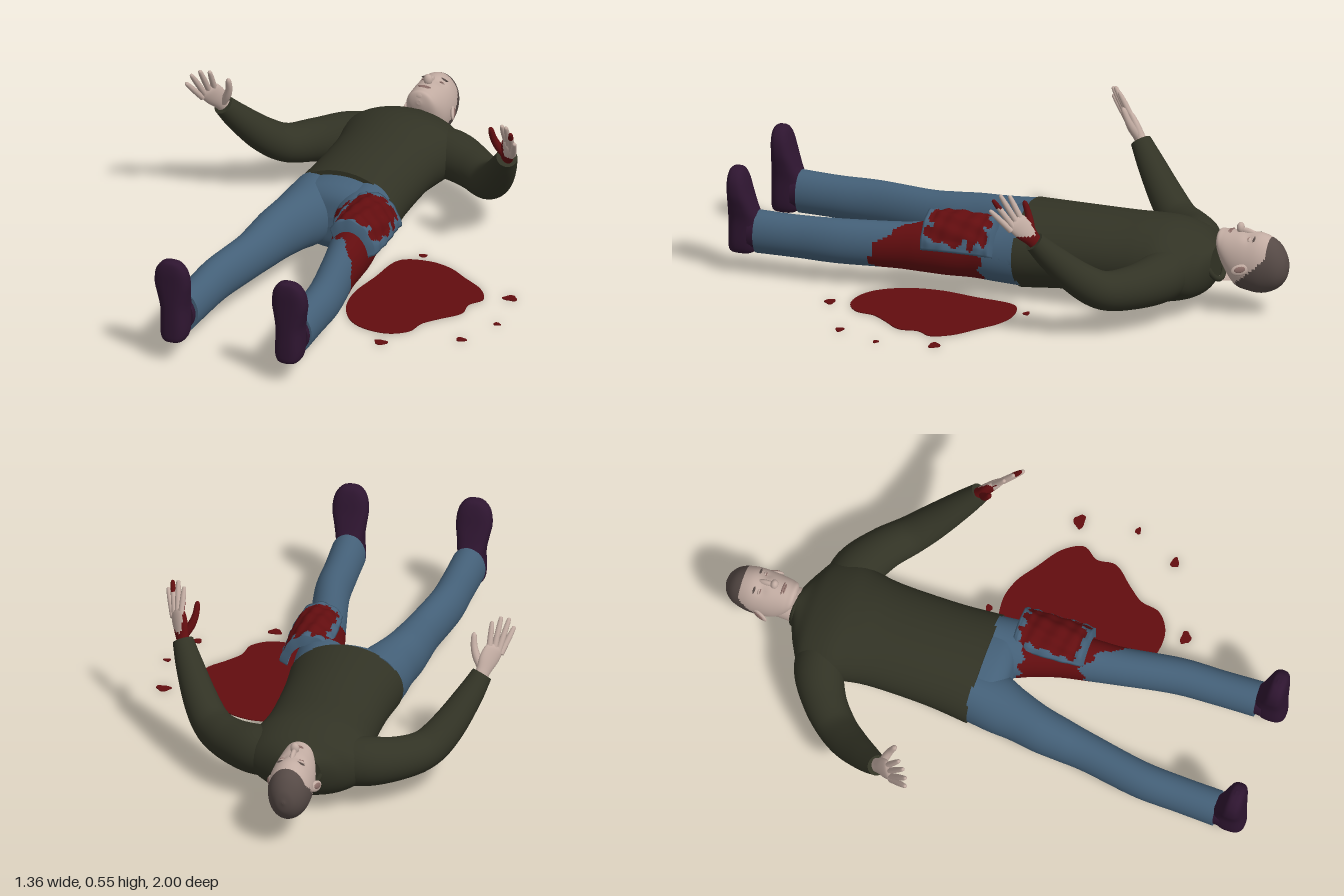
import * as THREE from 'three';

const mat = (name, color, side = THREE.FrontSide) => {
  const m = new THREE.MeshStandardMaterial({ color, side });
  m.name = name;
  return m;
};

const V = (x, y, z) => new THREE.Vector3(x, y, z);

// Skin a smooth surface over key sections [x, y, z, halfWidth, halfHeight].
// axis: fixed section direction; ref: direction of the section's height;
// arc: angle range; square: <1 makes boxier sections; paint: picks a material.
function loft(name, keys, mats, o = {}) {
  const { n = 32, m = 32, axis, ref = V(0, 1, 0), arc, square = 1, bump = () => 1, paint = () => 0 } = o;
  const path = new THREE.CatmullRomCurve3(keys.map(k => V(k[0], k[1], k[2])), false, 'catmullrom', 0.5);
  const size = new THREE.CatmullRomCurve3(keys.map(k => V(k[3], k[4] ?? k[3], 0)), false, 'catmullrom', 0.5);
  const pts = [], cols = arc ? m + 1 : m, [a0, a1] = arc || [0, Math.PI * 2];
  const pow = v => Math.sign(v) * Math.abs(v) ** square;
  for (let i = 0; i <= n; i++) {
    const t = i / n, c = path.getPoint(t), s = size.getPoint(t);
    const T = axis || path.getTangent(t);
    const U = ref.clone().cross(T).normalize(), W = T.clone().cross(U).normalize();
    for (let j = 0; j < cols; j++) {
      const f = j / m, th = a0 + (a1 - a0) * f, k = bump(t, f, th);
      pts.push(c.clone().addScaledVector(U, s.x * k * pow(Math.cos(th)))
        .addScaledVector(W, s.y * k * pow(Math.sin(th))));
    }
  }
  const lists = mats.map(() => []);
  for (let i = 0; i < n; i++) for (let j = 0; j < m; j++) {
    const a = i * cols + j, b = i * cols + (j + 1) % cols, c = b + cols, d = a + cols;
    const mid = pts[a].clone().add(pts[c]).multiplyScalar(0.5);
    lists[paint(mid, (i + 0.5) / n, (j + 0.5) / m)].push(a, b, c, a, c, d);
  }
  // End caps with their own rim so the edge stays crisp
  if (!arc) for (const end of [0, n]) {
    const base = pts.length;
    const ring = pts.slice(end * cols, end * cols + cols).map(p => p.clone());
    const mid = path.getPoint(end / n), idx = paint(mid, end / n, 0);
    pts.push(...ring, mid);
    for (let j = 0; j < m; j++) {
      const p = base + j, q = base + (j + 1) % m;
      lists[idx].push(base + m, ...(end ? [p, q] : [q, p]));
    }
  }
  const g = new THREE.BufferGeometry().setFromPoints(pts);
  g.setIndex(lists.flat());
  let start = 0;
  lists.forEach((l, i) => { g.addGroup(start, l.length, i); start += l.length; });
  g.computeVertexNormals();
  const mesh = new THREE.Mesh(g, mats.length > 1 ? mats : mats[0]);
  mesh.name = name;
  return mesh;
}

export function createModel() {
  const skin = mat('skin', 0xc2aca2), shirt = mat('shirt', 0x323325), jeans = mat('denim', 0x446078);
  const hair = mat('hair', 0x564a46), shoe = mat('shoe', 0x2e1530), blood = mat('stain', 0x620d0f);
  const lip = mat('lip', 0x8d6f69), tornDenim = mat('tornDenim', 0x446078, THREE.DoubleSide);
  const wound = mat('wound', 0x620d0f, THREE.DoubleSide);
  const model = new THREE.Group(), person = new THREE.Group(), Z = V(0, 0, 1);
  person.name = 'lyingPerson';
  person.position.x = -0.053;
  model.add(person);

  const blob = (name, m, pos, scale, rot = [0, 0, 0]) => {
    const b = new THREE.Mesh(new THREE.SphereGeometry(1, 20, 14), m);
    b.name = name;
    b.position.set(...pos); b.scale.set(...scale); b.rotation.set(...rot);
    person.add(b);
    return b;
  };

  // Sweater body and collar
  person.add(loft('sweaterBody', [
    [0, 0.18, -0.735, 0.072, 0.062], [0, 0.165, -0.705, 0.14, 0.09], [0, 0.166, -0.66, 0.205, 0.116],
    [0, 0.17, -0.58, 0.222, 0.14], [0, 0.172, -0.5, 0.205, 0.145], [0, 0.174, -0.4, 0.192, 0.142],
    [0, 0.17, -0.2, 0.192, 0.147], [0, 0.163, -0.042, 0.205, 0.153]], [shirt], { axis: Z, n: 40, m: 48 }));
  const collar = new THREE.Mesh(new THREE.TorusGeometry(0.07, 0.01, 10, 36), shirt);
  collar.name = 'collar';
  collar.position.set(0, 0.185, -0.722); collar.rotation.x = 0.4;
  person.add(collar);

  // Neck and head, with the hair as a painted cap
  person.add(loft('neck', [[0, 0.175, -0.68, 0.068, 0.066], [0, 0.18, -0.75, 0.062, 0.066],
    [0, 0.19, -0.84, 0.062, 0.068]], [skin], { axis: Z, n: 8 }));
  const isHair = p => (p.z < -0.937 || (p.z < -0.79 && p.y < 0.2 - (p.z + 0.9) * 0.9)) ? 1 : 0;
  person.add(loft('head', [
    [0, 0.19, -1, 0.004], [0, 0.19, -0.99, 0.034, 0.046], [0, 0.194, -0.96, 0.061, 0.085],
    [0, 0.196, -0.91, 0.075, 0.108], [0, 0.198, -0.86, 0.077, 0.108], [0, 0.206, -0.81, 0.072, 0.1],
    [0, 0.235, -0.77, 0.06, 0.07], [0, 0.262, -0.747, 0.043, 0.04], [0, 0.265, -0.738, 0.008]],
  [skin, hair], { axis: Z, n: 64, m: 64, paint: isHair,
    bump: (t, f, th) => { // eye sockets
      const d = Math.abs(Math.abs(th - Math.PI / 2) - 0.42) / 0.22, e = (t - 0.5) / 0.045;
      return 1 - 0.05 * Math.exp(-d * d - e * e);
    } }));
  blob('noseBridge', skin, [0, 0.304, -0.85], [0.01, 0.014, 0.034], [-0.2, 0, 0]);
  blob('noseTip', skin, [0, 0.316, -0.823], [0.016, 0.021, 0.014]);
  blob('chin', skin, [0, 0.285, -0.757], [0.026, 0.02, 0.017]);
  blob('upperLip', lip, [0, 0.303, -0.791], [0.024, 0.006, 0.004]);
  blob('lowerLip', lip, [0, 0.302, -0.784], [0.019, 0.006, 0.004]);
  for (const s of [-1, 1]) {
    blob('eyelid', skin, [s * 0.03, 0.285, -0.868], [0.015, 0.01, 0.008]);
    blob('eyeLine', lip, [s * 0.03, 0.292, -0.864], [0.013, 0.004, 0.002]);
    blob('eyebrow', hair, [s * 0.032, 0.294, -0.886], [0.02, 0.004, 0.004], [0, 0, -s * 0.3]);
    blob('ear', skin, [s * 0.082, 0.19, -0.85], [0.008, 0.02, 0.033], [0.25, s * 0.35, 0]);
    blob('earHollow', lip, [s * 0.088, 0.193, -0.851], [0.004, 0.011, 0.02], [0.25, s * 0.35, 0]);
  }

  // Hips
  person.add(loft('hips', [[0, 0.163, -0.08, 0.193, 0.138], [0, 0.163, -0.02, 0.2, 0.133],
    [0, 0.163, 0.02, 0.198, 0.12], [0, 0.163, 0.05, 0.13, 0.085], [0, 0.163, 0.06, 0.02, 0.02]],
  [jeans], { axis: Z, n: 20, m: 48 }));

  // Limbs, made for the left side (+x) and mirrored
  for (const s of [1, -1]) {
    const left = s === 1, side = new THREE.Group();
    side.name = left ? 'leftLimbs' : 'rightLimbs';
    side.scale.x = s;
    person.add(side);

    side.add(loft('sleeve', [[0.1, 0.17, -0.6, 0.088], [0.2, 0.166, -0.587, 0.088], [0.3, 0.16, -0.53, 0.077],
      [0.38, 0.167, -0.455, 0.069], [0.44, 0.22, -0.385, 0.062], [0.5, 0.31, -0.305, 0.049],
      [0.537, 0.378, -0.252, 0.037]], [shirt], { n: 36 }));

    // Trouser leg; the left one is stained around the thigh
    side.add(loft('trouserLeg', [
      [0.1, 0.165, -0.05, 0.096, 0.125], [0.106, 0.163, 0.04, 0.102, 0.116], [0.124, 0.163, 0.12, 0.089, 0.106],
      [0.145, 0.16, 0.21, 0.08, 0.099], [0.157, 0.157, 0.3, 0.073, 0.091], [0.17, 0.155, 0.4, 0.066, 0.084],
      [0.203, 0.155, 0.6, 0.063, 0.081], [0.21, 0.155, 0.75, 0.061, 0.077], [0.215, 0.157, 0.895, 0.062, 0.078]],
    [jeans, blood], { axis: Z, n: 90, m: 56, paint: (p, t, f) => {
      const a = f * Math.PI * 2;
      const end = 0.38 + 0.085 * Math.cos(a) - 0.05 * Math.sin(a) + 0.012 * Math.sin(7 * a);
      return left && p.z > 0.075 + 0.01 * Math.sin(9 * a) && p.z < end ? 1 : 0;
    } }));

    // Shoe, toe pointing up
    side.add(loft('shoe', [
      [0.217, 0.075, 0.955, 0.015, 0.02], [0.217, 0.085, 0.95, 0.04, 0.046], [0.217, 0.12, 0.945, 0.05, 0.055],
      [0.218, 0.2, 0.941, 0.049, 0.059], [0.22, 0.25, 0.95, 0.056, 0.05], [0.222, 0.3, 0.959, 0.064, 0.041],
      [0.222, 0.35, 0.966, 0.058, 0.034], [0.221, 0.382, 0.97, 0.036, 0.024], [0.22, 0.392, 0.972, 0.008]],
    [shoe], { axis: V(0, 1, 0), ref: V(0, 0, -1), square: 0.75, n: 40 }));
    side.add(loft('shoeCuff', [[0.216, 0.155, 0.87, 0.052, 0.062], [0.217, 0.157, 0.92, 0.055, 0.066]],
      [shoe], { axis: Z, n: 4 }));

    // Open hand; the left one is stained
    const flesh = [skin, blood], palm = V(0.7, 0.24, -0.67).normalize();
    const stained = p => (left && (p.x < 0.543 || p.y < 0.405 || (p.x > 0.59 && p.y > 0.51))) ? 1 : 0;
    const hand = (name, keys, n = 14, m = 14) => side.add(loft(name, keys, flesh, { ref: palm, n, m, paint: stained }));
    hand('palm', [[0.53, 0.362, -0.266, 0.026, 0.022], [0.54, 0.388, -0.247, 0.028, 0.02],
      [0.553, 0.422, -0.222, 0.038, 0.019], [0.567, 0.45, -0.199, 0.037, 0.015],
      [0.572, 0.462, -0.19, 0.022, 0.008]], 20, 24);
    const fingers = [[[0.591, 0.435, -0.178], [0.622, 0.507, -0.117]], [[0.582, 0.447, -0.185], [0.605, 0.541, -0.122]],
      [[0.568, 0.455, -0.197], [0.58, 0.553, -0.14]], [[0.553, 0.458, -0.211], [0.553, 0.544, -0.165]]];
    fingers.forEach(([a, b], i) => {
      const at = (t, r) => [...a.map((v, k) => v + (b[k] - v) * t), r];
      hand(['littleFinger', 'ringFinger', 'middleFinger', 'indexFinger'][i],
        [at(-0.1, 0.011), at(0.4, 0.0105), at(0.7, 0.0095), at(0.95, 0.007), at(1, 0.002)]);
    });
    hand('thumb', [[0.532, 0.395, -0.24, 0.014], [0.512, 0.43, -0.228, 0.0145], [0.5, 0.465, -0.216, 0.012],
      [0.497, 0.5, -0.203, 0.0095], [0.497, 0.511, -0.199, 0.002]]);
  }

  // Torn, ragged patch of cloth over the left thigh
  const rag = (t, f) => 0.018 * Math.sin(31 * t + 5 * f) + 0.018 * Math.sin(27 * f - 9 * t);
  person.add(loft('tornThighPatch', [[0.15, 0.16, 0.02, 0.105, 0.136], [0.152, 0.162, 0.09, 0.108, 0.142],
    [0.157, 0.162, 0.2, 0.107, 0.144], [0.162, 0.16, 0.285, 0.1, 0.135]], [tornDenim, wound], {
    axis: Z, n: 36, m: 44, arc: [0.12, 2.45],
    bump: (t, f) => {
      const edge = Math.min(t, 1 - t, f, 1 - f);
      return edge < 0.01 ? 0.74 : 1 + rag(t, f) - (edge > 0.13 ? 0.03 : 0);
    },
    paint: (p, t, f) => Math.min(t, 1 - t, f, 1 - f) > 0.12 + 2 * rag(t, f) ? 1 : 0 }));

  // Puddle and drops on the ground
  const puddle = (name, outline) => {
    const curve = new THREE.CatmullRomCurve3(outline.map(([x, z]) => V(x, -z, 0)), true);
    const shape = new THREE.Shape(curve.getPoints(90).map(p => new THREE.Vector2(p.x, p.y)));
    const g = new THREE.ExtrudeGeometry(shape, { depth: 0.003, bevelEnabled: false });
    const mesh = new THREE.Mesh(g.rotateX(-Math.PI / 2), blood);
    mesh.name = name;
    model.add(mesh);
  };
  puddle('puddle', [[0.16, -0.06], [0.26, -0.09], [0.345, -0.07], [0.42, -0.02], [0.51, 0.045], [0.547, 0.115],
    [0.515, 0.17], [0.52, 0.24], [0.46, 0.315], [0.42, 0.37], [0.405, 0.44], [0.345, 0.485], [0.26, 0.485],
    [0.19, 0.45], [0.13, 0.36], [0.11, 0.24], [0.13, 0.1]]);
  [[0.63, 0.067, 0.026], [0.665, 0.272, 0.013], [0.596, 0.432, 0.019], [0.345, 0.56, 0.024], [0.22, -0.125, 0.015]]
    .forEach(([x, z, r], k) => puddle('drop', Array.from({ length: 9 }, (_, i) => {
      const a = i / 9 * Math.PI * 2, q = r * (1 + 0.18 * Math.sin(3 * a + k));
      return [x + q * Math.cos(a), z + 0.75 * q * Math.sin(a)];
    })));
  return model;
}
